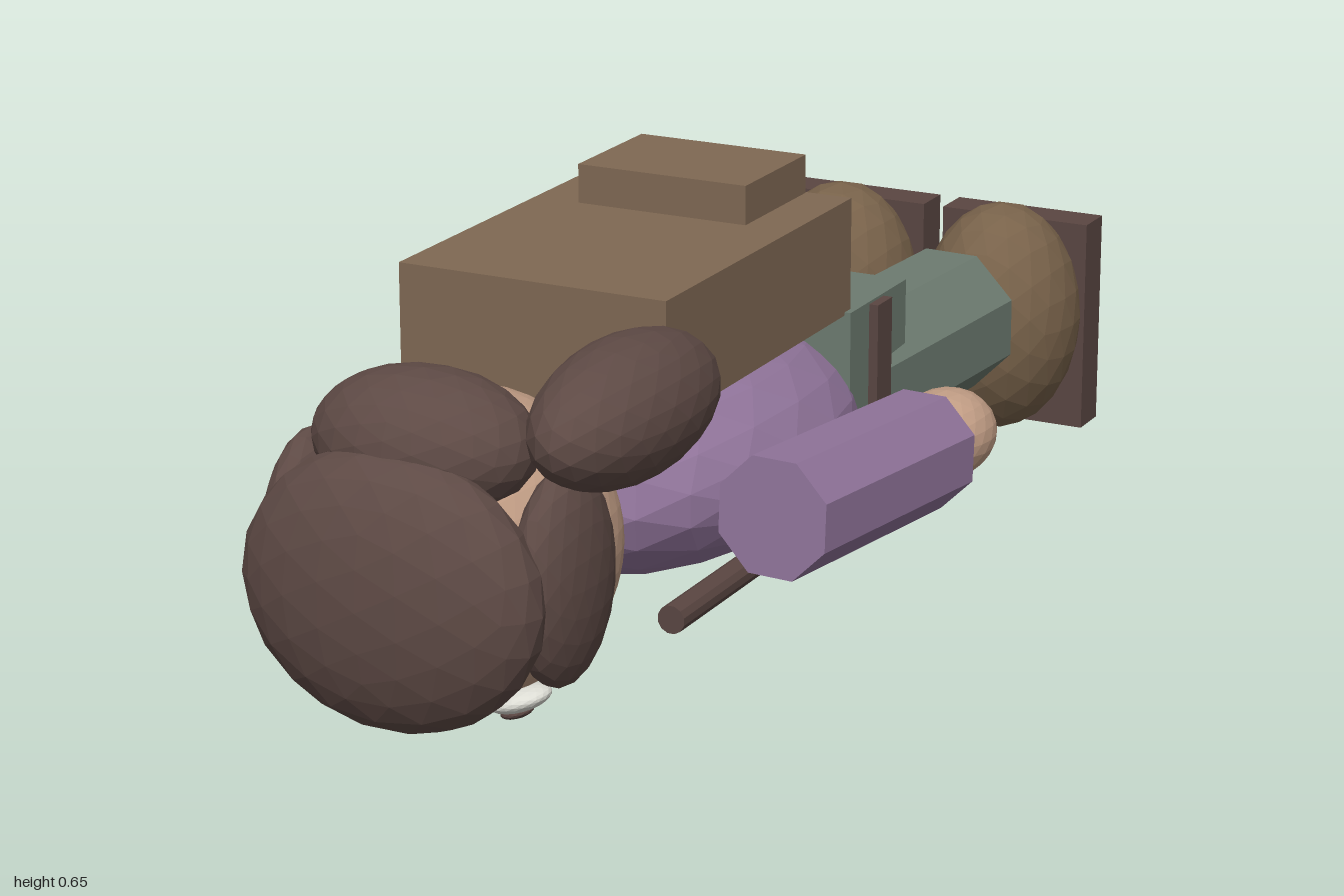
import * as THREE from 'three';

const mat = (name, color) => {
  const m = new THREE.MeshStandardMaterial({ color, flatShading: true });
  m.name = name;
  return m;
};

export function createModel() {
  const root = new THREE.Group();
  root.name = 'lyingTraveller';
  const hair = mat('hair brown', 0x5e4a45);
  const skin = mat('skin', 0xc09c84);
  const shirt = mat('shirt purple', 0x90749a);
  const trousers = mat('trousers green', 0x6d7b70);
  const pack = mat('pack brown', 0x7f6853);
  const boot = mat('boot brown', 0x78624a);
  const leather = mat('dark leather', 0x5a4642);
  const white = mat('eye white', 0xdcdcd4);

  const add = (name, geo, m, pos) => {
    const mesh = new THREE.Mesh(geo, m);
    mesh.name = name;
    mesh.position.set(...pos);
    root.add(mesh);
    return mesh;
  };
  // Faceted ellipsoid
  const blob = (name, m, pos, radii, detail = 3) => {
    const mesh = add(name, new THREE.IcosahedronGeometry(1, detail), m, pos);
    mesh.scale.set(...radii);
    return mesh;
  };
  // Box given by its minimum and maximum corners
  const box = (name, m, a, b) => add(name,
    new THREE.BoxGeometry(b[0] - a[0], b[1] - a[1], b[2] - a[2]), m,
    a.map((v, i) => (v + b[i]) / 2));
  // Faceted rod between two points
  const rod = (name, m, a, b, r, sides) => {
    const p = new THREE.Vector3(...a), q = new THREE.Vector3(...b);
    const geo = new THREE.CylinderGeometry(r, r, p.distanceTo(q), sides);
    geo.rotateY(Math.PI / sides);
    geo.rotateX(Math.PI / 2);
    const mesh = add(name, geo, m, p.clone().add(q).multiplyScalar(0.5).toArray());
    mesh.lookAt(p);
    return mesh;
  };

  // Head and hair
  blob('head', skin, [0, 0.27, 0.7], [0.22, 0.22, 0.22], 7);
  blob('hairCap', hair, [0, 0.263, 0.9], [0.232, 0.203, 0.1]);
  blob('hairBack', hair, [0, 0.45, 0.805], [0.168, 0.102, 0.118]);
  blob('ponytail', hair, [0.219, 0.478, 0.64], [0.1, 0.102, 0.216]);

  // Body, face down
  blob('torso', shirt, [0, 0.25, 0.125], [0.278, 0.172, 0.41]);
  box('hips', trousers, [-0.225, 0.09, -0.285], [0.225, 0.42, -0.08]);
  box('belt', leather, [-0.24, 0.05, -0.2], [0.24, 0.416, -0.148]);

  // Backpack
  box('backpack', pack, [-0.215, 0.415, -0.1], [0.215, 0.595, 0.51]);
  box('backpackPocket', pack, [-0.14, 0.59, -0.095], [0.14, 0.655, 0.11]);

  // Mirrored parts
  for (const s of [1, -1]) {
    const side = s > 0 ? 'left' : 'right';
    blob(side + 'SideHair', hair, [s * 0.197, 0.275, 0.78], [0.054, 0.157, 0.115]);

    const eye = blob(side + 'Eye', white, [s * 0.095, 0.06, 0.724], [0.048, 0.018, 0.044]);
    eye.rotation.z = s * 0.3;
    const pupil = blob(side + 'Pupil', leather, [s * 0.092, 0.04, 0.726], [0.025, 0.009, 0.023], 2);
    pupil.rotation.z = s * 0.3;

    rod(side + 'Arm', shirt, [s * 0.312, 0.247, 0.37], [s * 0.345, 0.22, -0.085], 0.095, 8);
    blob(side + 'Hand', skin, [s * 0.35, 0.223, -0.163], [0.076, 0.069, 0.094]);
    rod(side + 'Leg', trousers, [s * 0.122, 0.253, -0.16], [s * 0.151, 0.253, -0.635], 0.121, 8);
    blob(side + 'Boot', boot, [s * 0.15, 0.2, -0.85], [0.135, 0.196, 0.15]);
    box(side + 'Sole', leather, [s * 0.15 - 0.132, 0, -0.975], [s * 0.15 + 0.132, 0.36, -0.905]);
    rod(side + 'Strap', leather, [s * 0.17, 0.081, 0.41], [s * 0.17, 0.081, 0], 0.022, 12);
  }
  return root;
}
